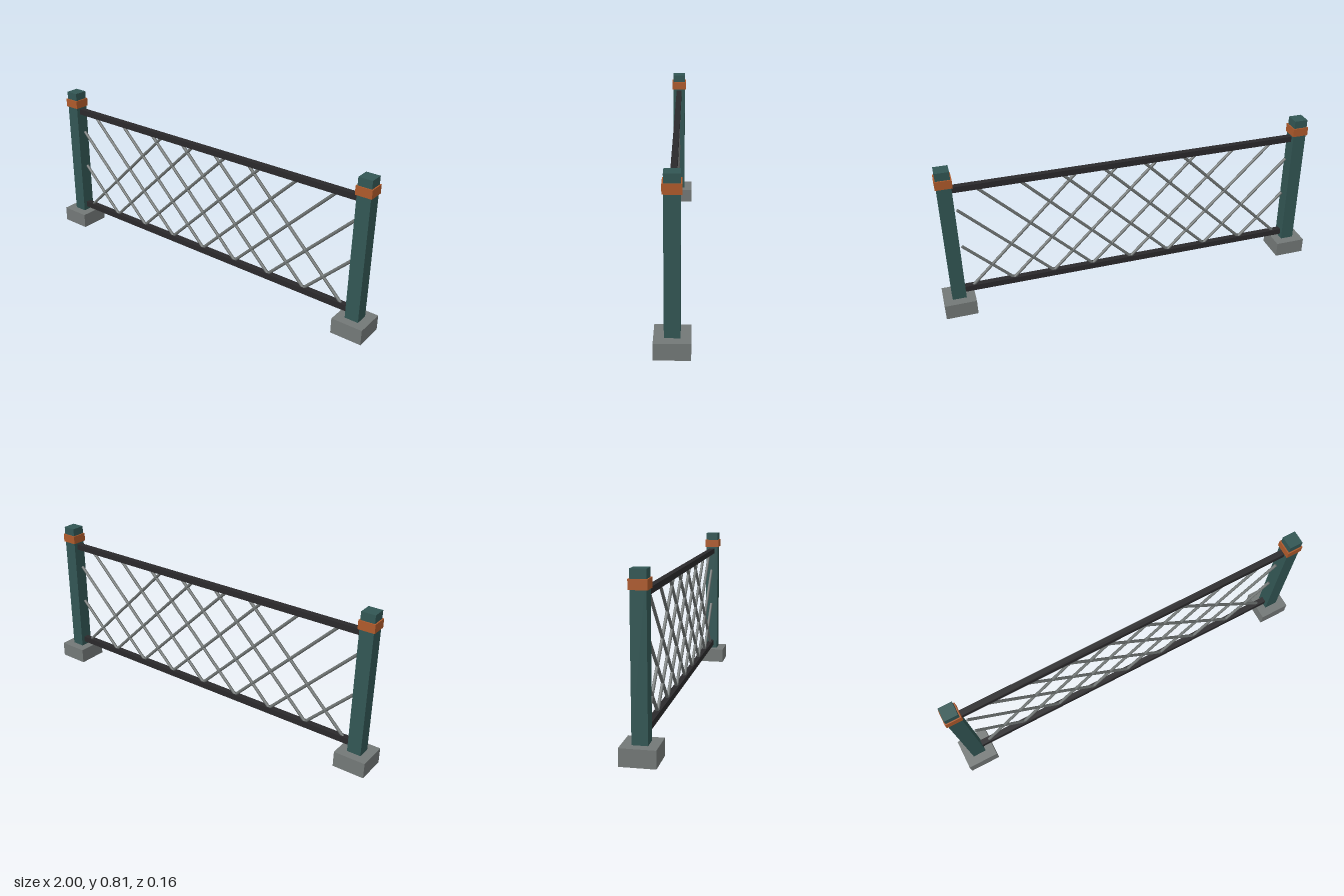
import * as THREE from 'three';

const mat = (name, color) => Object.assign(new THREE.MeshStandardMaterial({ color }), { name });

export function createModel() {
  const teal = mat('teal paint', 0x325654);
  const orange = mat('orange band', 0xae5a2b);
  const concrete = mat('concrete', 0x737877);
  const black = mat('black rail', 0x2a292b);
  const steel = mat('steel wire', 0x6f7473);

  const fence = new THREE.Group();
  fence.name = 'fence';

  // box spanning y0..y1, centred on z = 0
  const box = (parent, name, material, w, y0, y1, d) => {
    const mesh = new THREE.Mesh(new THREE.BoxGeometry(w, y1 - y0, d), material);
    mesh.position.y = (y0 + y1) / 2;
    mesh.name = name;
    parent.add(mesh);
  };

  // end posts with footing and band
  for (const side of [-1, 1]) {
    const post = new THREE.Group();
    post.name = side > 0 ? 'leftPost' : 'rightPost';
    post.position.x = side * 0.92;
    box(post, 'footing', concrete, 0.16, 0, 0.08, 0.16);
    box(post, 'shaft', teal, 0.07, 0.08, 0.807, 0.07);
    box(post, 'band', orange, 0.082, 0.722, 0.766, 0.082);
    fence.add(post);
  }

  // horizontal rails
  box(fence, 'topRail', black, 1.78, 0.682, 0.712, 0.03);
  box(fence, 'bottomRail', black, 1.78, 0.1, 0.131, 0.03);

  // diagonal wire mesh: 45 degree wires rising left and right, cut short of the posts
  const mesh = new THREE.Group();
  mesh.name = 'wireMesh';
  const bottom = 0.125, top = 0.682, limit = 0.872;
  for (const dir of [-1, 1]) {
    for (let k = -3; k <= 4; k++) {
      const x0 = -dir * k * 0.21;
      const run = Math.min(top - bottom, limit - dir * x0);
      const wire = new THREE.Mesh(
        new THREE.CylinderGeometry(0.008, 0.008, run * Math.SQRT2, 8), steel);
      wire.position.set(x0 + dir * run / 2, bottom + run / 2, 0);
      wire.rotation.z = -dir * Math.PI / 4;
      wire.name = 'wire';
      mesh.add(wire);
    }
  }
  fence.add(mesh);
  return fence;
}
